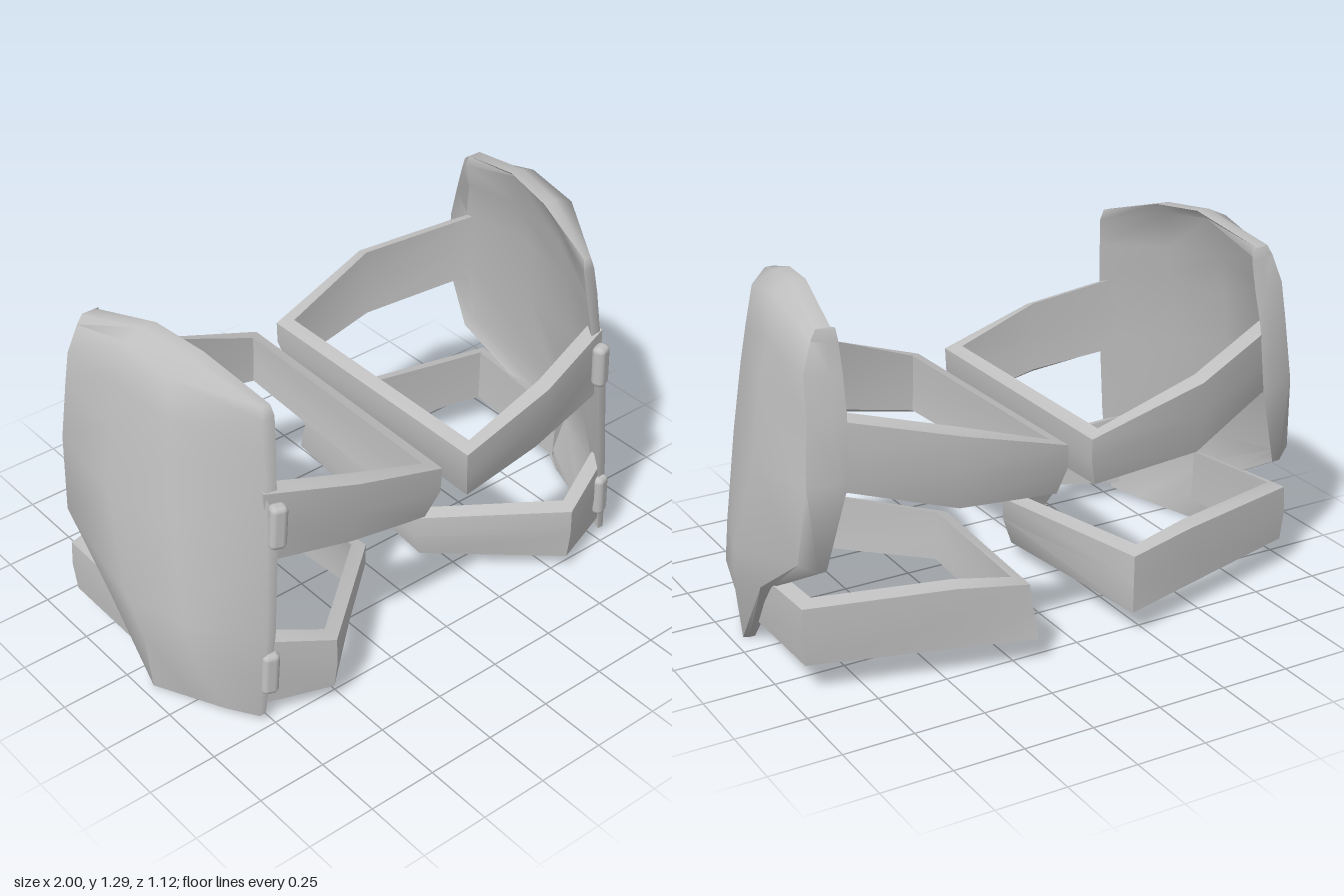
import * as THREE from 'three';
import { toCreasedNormals } from 'three/addons/utils/BufferGeometryUtils.js';
import { RoundedBoxGeometry } from 'three/addons/geometries/RoundedBoxGeometry.js';

const grey = new THREE.MeshStandardMaterial({ color: 0xc0c0c0 });
grey.name = 'plain grey';

// Skin a row of equal-length rings; each ring lists its outer side, then its inner side back again.
function loft(rings, crease) {
  const n = rings[0].length, last = (rings.length - 1) * n, index = [];
  for (let i = 0; i < rings.length - 1; i++) {
    for (let j = 0; j < n; j++) {
      const a = i * n + j, b = i * n + (j + 1) % n, c = a + n, d = b + n;
      index.push(a, b, c, b, d, c);
    }
  }
  for (let j = 0; j < n / 2 - 1; j++) {
    const p = j, q = j + 1, r = n - 2 - j, s = n - 1 - j;
    index.push(p, r, q, p, s, r);
    index.push(last + p, last + q, last + r, last + p, last + r, last + s);
  }
  const geometry = new THREE.BufferGeometry();
  geometry.setAttribute('position', new THREE.Float32BufferAttribute(rings.flat(2), 3));
  geometry.setIndex(index);
  return toCreasedNormals(geometry, crease);
}

// Curved guard plate: rows from top to bottom, each from the front edge to the rolled-in back edge.
// The second part of a row is the plate's thickness there.
function plateGeometry() {
  const rows = [
    [[[0.69, 1.2, 0.40], [0.765, 1.28, 0.14], [0.80, 1.3, -0.06], [0.85, 1.235, -0.335], [0.81, 1.23, -0.34]], 0.05],
    [[[0.70, 1.16, 0.41], [0.85, 1.24, 0.14], [0.865, 1.27, -0.07], [0.87, 1.2, -0.34], [0.82, 1.19, -0.348]], 0.08],
    [[[0.71, 1.06, 0.425], [0.87, 1.1, 0.16], [0.905, 1.13, -0.1], [0.905, 1.1, -0.355], [0.82, 1.09, -0.373]], 0.08],
    [[[0.715, 0.95, 0.44], [0.885, 0.97, 0.18], [0.935, 0.98, -0.08], [0.91, 0.97, -0.38], [0.82, 0.97, -0.405]], 0.07],
    [[[0.74, 0.7, 0.47], [0.91, 0.72, 0.21], [0.965, 0.73, -0.08], [0.93, 0.75, -0.4], [0.83, 0.75, -0.425]], 0.07],
    [[[0.76, 0.36, 0.48], [0.93, 0.38, 0.26], [1.0, 0.38, 0.04], [0.955, 0.48, -0.37], [0.9, 0.45, -0.40]], 0.06],
    [[[0.78, 0.18, 0.475], [0.92, 0.2, 0.32], [0.985, 0.25, 0.1], [0.975, 0.295, -0.11], [0.94, 0.29, -0.12]], 0.05],
    [[[0.79, 0.04, 0.47], [0.85, 0.03, 0.36], [0.9, 0.02, 0.24], [0.96, 0.01, 0.1], [0.94, 0.01, 0.09]], 0.04],
  ];
  const share = [0.6, 1, 1, 1, 0.5];
  return loft(rows.map(([row, thickness]) => {
    const inner = row.map(([x, y, z], k) => [x - thickness * share[k], y, z]);
    return [...[...row].reverse(), ...inner];
  }), 1.1);
}

// Strap band: stations of [x, z, bottom, top, lean] along its outer face, mitred at the bends.
// Lean is how far the lower outer edge is drawn in, as a share of the thickness.
function strapGeometry(stations, thickness) {
  const direction = (a, b) => new THREE.Vector2(b[0] - a[0], b[1] - a[1]).normalize();
  const end = stations.length - 1;
  const rings = stations.map(([x, z, low, high, lean], i) => {
    const before = direction(stations[Math.max(i - 1, 0)], stations[Math.max(i, 1)]);
    const after = direction(stations[Math.min(i, end - 1)], stations[Math.min(i + 1, end)]);
    const along = before.clone().add(after).normalize();
    const depth = thickness / Math.max(along.dot(before), 0.5);
    const at = (k, y) => [x + along.y * depth * k, y, z - along.x * depth * k];
    const mid = (low + high) / 2;
    return [
      at(0.1, high - 0.015), at(lean * 0.2, mid), at(lean, low),
      at(1 + lean * 0.2, low + 0.015), at(0.95, mid), at(0.95, high),
    ];
  });
  return loft(rings, 1);
}

function createGuard() {
  const guard = new THREE.Group();
  const add = (name, geometry) => {
    const mesh = new THREE.Mesh(geometry, grey);
    mesh.name = name;
    guard.add(mesh);
    return mesh;
  };

  add('guardPlate', plateGeometry());

  // Straps run from the plate's back edge, round the inside, to its front edge
  add('upperStrap', strapGeometry([
    [0.85, -0.39, 0.71, 0.97, 0.5], [0.46, -0.545, 0.62, 0.89, 0.5], [0.04, -0.51, 0.57, 0.76, 0.6],
    [0.05, 0.52, 0.53, 0.75, 0.8], [0.41, 0.525, 0.59, 0.86, 0.8], [0.73, 0.45, 0.64, 0.93, 0.3],
  ], 0.055));
  add('lowerStrap', strapGeometry([
    [0.94, 0.1, 0.09, 0.3, 0.2], [0.955, -0.38, 0.12, 0.34, 0.2],
    [0.46, -0.50, 0.11, 0.34, 0.1], [0.2, -0.54, 0.1, 0.31, -0.3],
    [0.11, 0.2, 0.065, 0.26, 0.6], [0.53, 0.56, 0.075, 0.3, 0.3], [0.78, 0.46, 0.07, 0.36, 0.2],
  ], 0.055));

  // Small buckles on the plate's front edge
  for (const [name, x, y] of [['upperBuckle', 0.7, 0.797], ['lowerBuckle', 0.748, 0.215]]) {
    const buckle = add(name, new RoundedBoxGeometry(0.06, 0.165, 0.05, 2, 0.02));
    buckle.position.set(x, y, 0.475);
    buckle.rotation.set(0, 0.3, 0.06);
  }
  return guard;
}

export function createModel() {
  const model = new THREE.Group();
  model.name = 'pairOfGuards';
  for (const side of [1, -1]) {
    const guard = createGuard();
    guard.name = side > 0 ? 'leftGuard' : 'rightGuard';
    guard.scale.x = side;
    model.add(guard);
  }
  return model;
}
